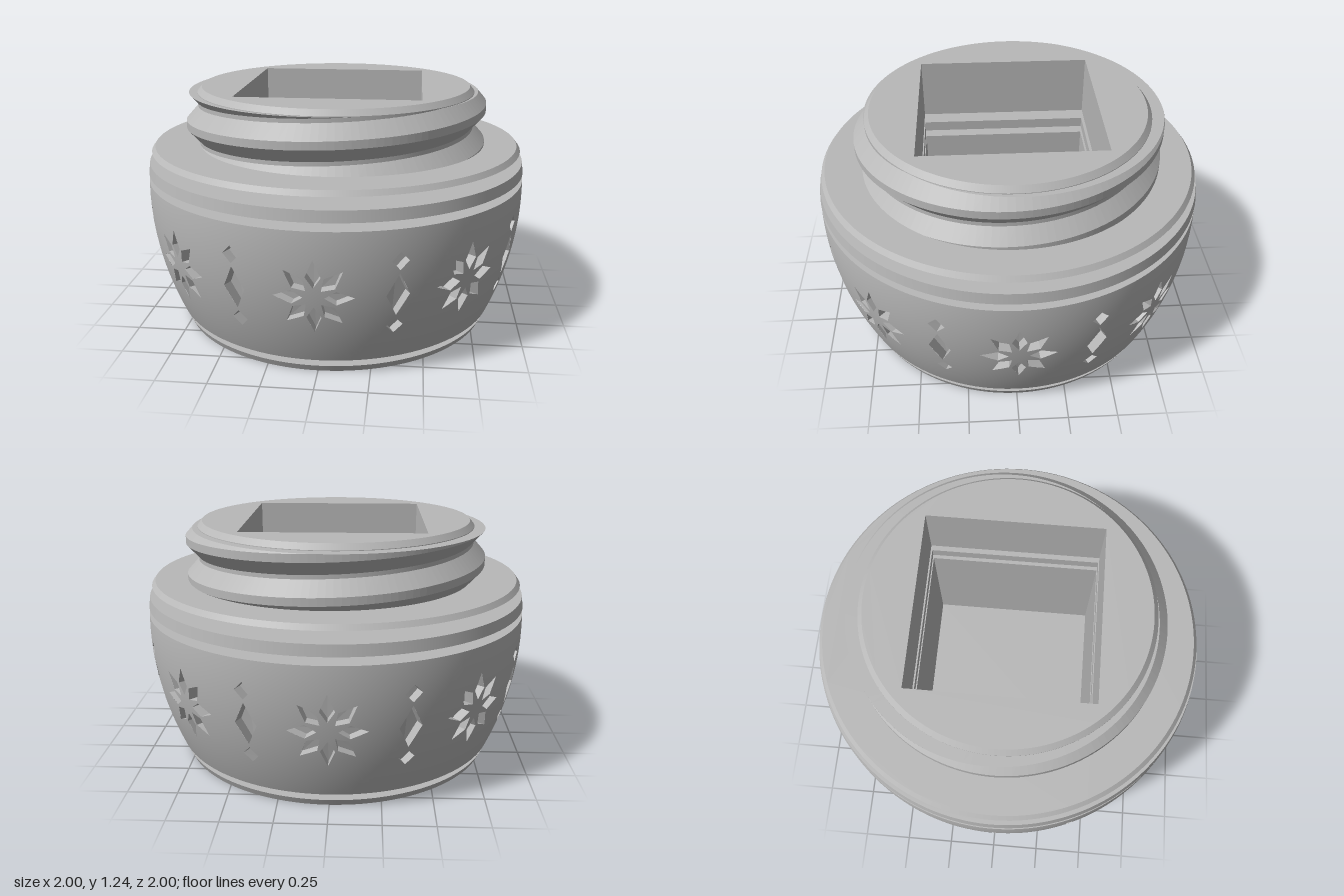
import * as THREE from 'three';

const SEG = 128, HOLE = 0.455;
const grey = new THREE.MeshStandardMaterial({ color: 0xb8b8b8 });
grey.name = 'plain grey';

// Bulging side: radius at a height, and its slope
const bulge = (y) => 1 - 0.345 * (0.7 - y) ** 2;
const slope = (y) => 0.69 * (0.7 - y);

function add(parent, name, geometry) {
  const mesh = new THREE.Mesh(geometry, grey);
  mesh.name = name;
  parent.add(mesh);
  return mesh;
}

function fromTriangles(positions, normals) {
  const g = new THREE.BufferGeometry();
  g.setAttribute('position', new THREE.Float32BufferAttribute(positions, 3));
  if (normals) g.setAttribute('normal', new THREE.Float32BufferAttribute(normals, 3));
  else g.computeVertexNormals();
  return g;
}

// Turned side wall; every segment keeps its own crisp edge
function addSide(parent, name, points) {
  for (let i = 1; i < points.length; i++) {
    const pair = [points[i - 1], points[i]].map(([r, y]) => new THREE.Vector2(r, y));
    add(parent, name, new THREE.LatheGeometry(pair, SEG));
  }
}

// Flat disc facing up or down, optionally with the square opening
function addCap(parent, name, r, y, up, open) {
  const shape = new THREE.Shape().absarc(0, 0, r, 0, Math.PI * 2);
  if (open) {
    const h = HOLE;
    shape.holes.push(new THREE.Path([[-h, -h], [-h, h], [h, h], [h, -h]].map(([x, z]) => new THREE.Vector2(x, z))));
  }
  const g = new THREE.ShapeGeometry(shape, SEG);
  g.rotateX(up ? -Math.PI / 2 : Math.PI / 2);
  g.translate(0, y, 0);
  add(parent, name, g);
}

// Inner walls of the square well
function addWell(parent, y0, y1) {
  for (let i = 0; i < 4; i++) {
    const g = new THREE.PlaneGeometry(2 * HOLE, y1 - y0);
    g.translate(0, (y0 + y1) / 2, -HOLE);
    g.rotateY(i * Math.PI / 2);
    add(parent, 'wellWall', g);
  }
}

// One layer of the stack
function addLayer(root, name, points, { openTop = true, openBottom = true } = {}) {
  const group = new THREE.Group();
  group.name = name;
  root.add(group);
  const [r0, y0] = points[0], [r1, y1] = points[points.length - 1];
  addSide(group, name + 'Side', points);
  addCap(group, name + 'Top', r1, y1, true, openTop);
  addCap(group, name + 'Bottom', r0, y0, false, openBottom);
  if (openTop && openBottom) addWell(group, y0, y1);
  return group;
}

// Wrap a point (angle, height) on to the bulging side
function wrap([u, y], depth = 0) {
  const r = bulge(y) - depth;
  return [r * Math.sin(u), y, r * Math.cos(u)];
}

// Split triangles until they are small enough to follow the curve
function subdivide(tri, out) {
  const len = (i) => Math.hypot(tri[i][0] - tri[(i + 1) % 3][0], tri[i][1] - tri[(i + 1) % 3][1]);
  let k = 0;
  for (let i = 1; i < 3; i++) if (len(i) > len(k) + 1e-9) k = i;
  if (len(k) < 0.07) { out.push(...tri); return; }
  const a = tri[k], b = tri[(k + 1) % 3], c = tri[(k + 2) % 3];
  const m = [(a[0] + b[0]) / 2, (a[1] + b[1]) / 2];
  subdivide([a, m, c], out);
  subdivide([m, b, c], out);
}

// A panel of the side wall with recessed cut-outs
function addPanel(parent, name, centre, half, y0, y1, cutouts) {
  const v = (p) => new THREE.Vector2(p[0], p[1]);
  const shape = new THREE.Shape([[-half, y0], [half, y0], [half, y1], [-half, y1]].map(v));
  cutouts.forEach((c) => shape.holes.push(new THREE.Path(c.map(v))));
  const flat = new THREE.ShapeGeometry(shape);
  const pos = flat.attributes.position, idx = flat.index.array, pts = [];
  for (let i = 0; i < idx.length; i += 3) {
    subdivide([0, 1, 2].map((j) => [pos.getX(idx[i + j]), pos.getY(idx[i + j])]), pts);
  }
  const normals = pts.flatMap(([u, y]) =>
    new THREE.Vector3(Math.sin(u), -slope(y), Math.cos(u)).normalize().toArray());
  add(parent, name, fromTriangles(pts.flatMap((p) => wrap(p)), normals)).rotation.y = centre;

  // Recess walls and floors
  const tris = [], depth = 0.05;
  for (const c of cutouts) {
    const outer = c.map((p) => wrap(p)), inner = c.map((p) => wrap(p, depth));
    c.forEach((_, i) => {
      const j = (i + 1) % c.length;
      tris.push(outer[i], outer[j], inner[j], outer[i], inner[j], inner[i]);
    });
    tris.push(inner[0], inner[1], inner[2], inner[0], inner[2], inner[3]);
  }
  add(parent, name + 'Recess', fromTriangles(tris.flat())).rotation.y = centre;
}

const diamond = (y, w, h) => [[0, y - h], [w, y], [0, y + h], [-w, y]];

// Eight-petalled flower
function flower(y) {
  const petal = [[0.05, 0], [0.105, -0.036], [0.19, 0], [0.105, 0.036]];
  return Array.from({ length: 8 }, (_, i) => {
    const c = Math.cos(i * Math.PI / 4), s = Math.sin(i * Math.PI / 4);
    return petal.map(([a, b]) => [a * c - b * s, y + a * s + b * c]);
  });
}

// Helical thread, cut flat at the bottom and top
function threadGeometry() {
  const lo = 0.945, hi = 1.212, pitch = 0.2, root = 0.725, crest = 0.79, wide = 0.092, flat = 0.02;
  const steps = 300, yStart = lo - wide, yEnd = hi + wide, rings = [];
  for (let i = 0; i <= steps; i++) {
    const yc = yStart + (yEnd - yStart) * i / steps;
    const a = (yc - 1.095) / pitch * Math.PI * 2;
    const section = [-wide, -flat, flat, wide].map((d) => {
      const y = Math.min(hi, Math.max(lo, yc + d));
      const t = Math.min(1, Math.max(0, (wide - Math.abs(y - yc)) / (wide - flat)));
      return [root + (crest - root) * t, y];
    });
    section.unshift([0.71, section[0][1]]);
    section.push([0.71, section[4][1]]);
    rings.push(section.map(([r, y]) => [r * Math.sin(a), y, r * Math.cos(a)]));
  }
  const tris = [];
  for (let i = 0; i < steps; i++) {
    for (let k = 0; k < 5; k++) {
      const a = rings[i][k], b = rings[i + 1][k], c = rings[i + 1][k + 1], d = rings[i][k + 1];
      tris.push(a, b, c, a, c, d);
    }
  }
  return fromTriangles(tris.flat());
}

export function createModel() {
  const root = new THREE.Group();
  root.name = 'jar';

  // Base disc, upper band and collar, separated by open gaps
  addLayer(root, 'base', [[bulge(0), 0], [bulge(0.035), 0.035]], { openTop: false, openBottom: false });
  addLayer(root, 'band', [[0.998, 0.812], [0.99, 0.867]]);
  addLayer(root, 'collar', [[0.976, 0.922], [0.957, 0.947]]);

  // Threaded neck
  const neck = addLayer(root, 'neck', [[0.727, 0.945], [0.727, 1.215], [0.703, 1.243]]);
  add(neck, 'thread', threadGeometry());

  // Body with alternating flowers and diamond columns
  const body = new THREE.Group();
  body.name = 'body';
  root.add(body);
  const y0 = 0.075, y1 = 0.772, mid = 0.45, half = 0.25;
  const column = [diamond(mid, 0.058, 0.11), diamond(0.62, 0.043, 0.043), diamond(0.28, 0.043, 0.043)];
  for (let i = 0; i < 8; i++) {
    const a = i * Math.PI / 4;
    addPanel(body, 'flowerPanel', a, half, y0, y1, flower(mid));
    addPanel(body, 'diamondPanel', a + Math.PI / 8, Math.PI / 8 - half, y0, y1, column);
  }
  addCap(body, 'bodyTop', bulge(y1), y1, true, true);
  addCap(body, 'bodyBottom', bulge(y0), y0, false, false);
  addWell(body, 0.12, y1);
  const floor = new THREE.PlaneGeometry(2 * HOLE, 2 * HOLE).rotateX(-Math.PI / 2);
  floor.translate(0, 0.12, 0);
  add(body, 'wellFloor', floor);

  return root;
}
